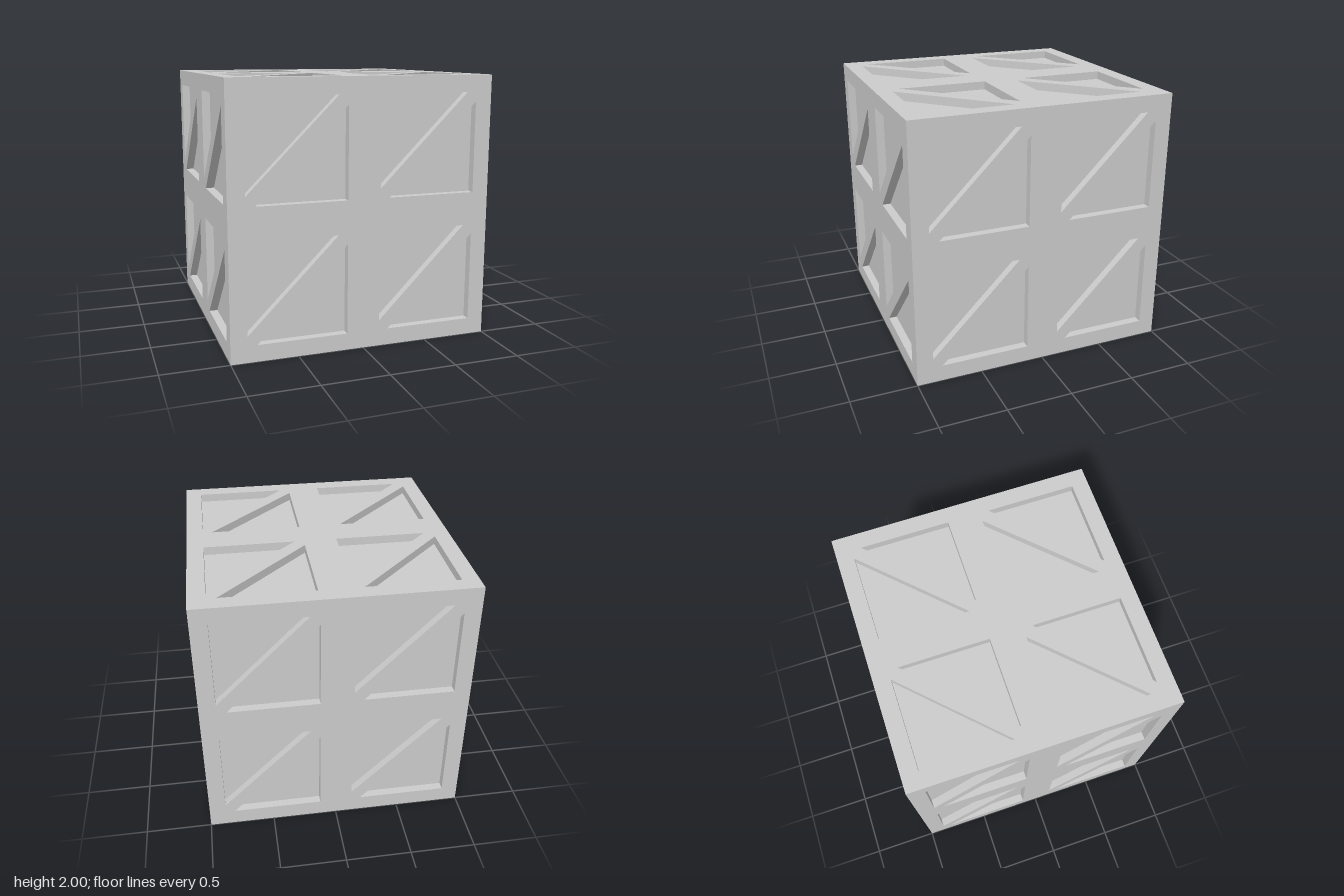
import * as THREE from 'three';

const HALF = 1;        // half the cube's edge
const DEPTH = 0.0625;  // depth of the recesses
const FRAME = 0.125;   // rim around each square cell
const BRACE = 0.0707;  // offset of each triangle from the cell's diagonal

const polygon = (Type, points) => new Type(points.map(([x, y]) => new THREE.Vector2(x, y)));

// Square plate with four diagonally braced cells, mitred to meet its neighbours
function makePlateGeometry() {
  const plate = polygon(THREE.Shape, [[-HALF, -HALF], [HALF, -HALF], [HALF, HALF], [-HALF, HALF]]);
  const r = HALF / 2 - FRAME;
  for (const cx of [-0.5, 0.5]) {
    for (const cy of [-0.5, 0.5]) {
      // s = 1: triangle above the brace, s = -1: triangle below it
      for (const s of [1, -1]) {
        plate.holes.push(polygon(THREE.Path, [
          [cx - s * r, cy + s * r],
          [cx + s * (r - BRACE), cy + s * r],
          [cx - s * r, cy - s * (r - BRACE)],
        ]));
      }
    }
  }
  const geometry = new THREE.ExtrudeGeometry(plate, { depth: DEPTH, bevelEnabled: false });
  geometry.translate(0, 0, HALF - DEPTH);

  // Pull the inner outline in to 45 degree mitres
  const pos = geometry.attributes.position;
  for (let i = 0; i < pos.count; i++) {
    if (pos.getZ(i) > HALF - DEPTH / 2) continue;
    const limit = HALF - DEPTH;
    pos.setX(i, THREE.MathUtils.clamp(pos.getX(i), -limit, limit));
    pos.setY(i, THREE.MathUtils.clamp(pos.getY(i), -limit, limit));
  }
  geometry.computeVertexNormals();
  return geometry;
}

export function createModel() {
  const model = new THREE.Group();
  model.name = 'bracedCrate';
  const material = new THREE.MeshStandardMaterial({ color: 0xcccccc });

  // Inner block forming the floors of the recesses
  const size = 2 * (HALF - DEPTH);
  const core = new THREE.Mesh(new THREE.BoxGeometry(size, size, size), material);
  core.name = 'core';
  core.position.y = HALF;
  model.add(core);

  // One braced frame for each side
  const plateGeometry = makePlateGeometry();
  const q = Math.PI / 2;
  const sides = [
    ['frontFrame', 0, 0], ['leftFrame', 0, q], ['backFrame', 0, 2 * q],
    ['rightFrame', 0, -q], ['topFrame', -q, 0], ['bottomFrame', q, 0],
  ];
  for (const [name, rx, ry] of sides) {
    const frame = new THREE.Mesh(plateGeometry, material);
    frame.name = name;
    frame.rotation.set(rx, ry, 0);
    frame.position.y = HALF;
    model.add(frame);
  }
  return model;
}
